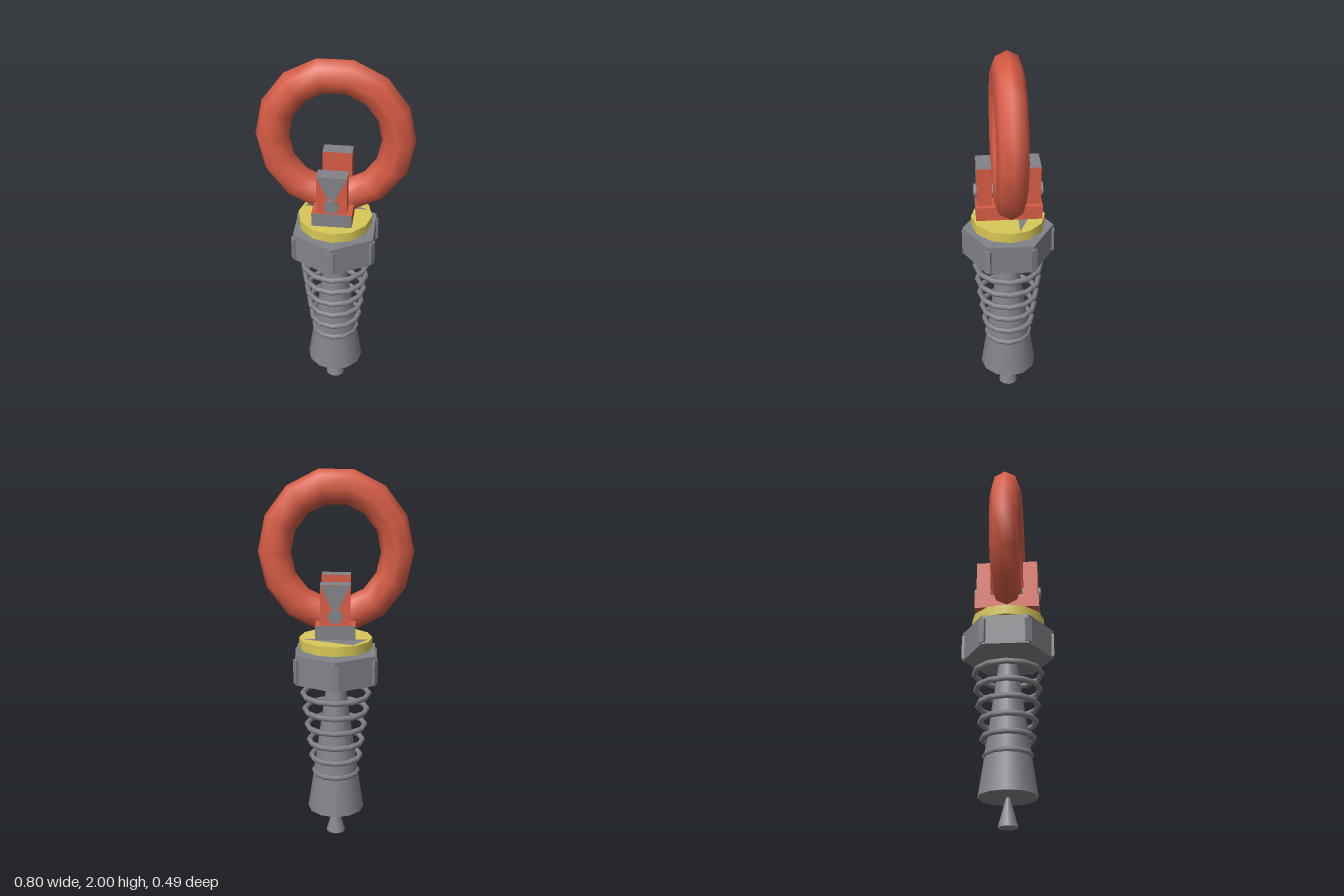
import * as THREE from 'three';

export function createModel() {
  const model = new THREE.Group();
  model.name = 'swivelHoistRing';

  const material = (name, color) => {
    const m = new THREE.MeshStandardMaterial({ color });
    m.name = name;
    return m;
  };
  const red = material('red', 0xd65c45);
  const yellow = material('yellow', 0xd9c857);
  const gray = material('gray', 0x828388);

  const add = (name, geometry, mat, x = 0, y = 0, z = 0, parent = model) => {
    const mesh = new THREE.Mesh(geometry, mat);
    mesh.name = name;
    mesh.position.set(x, y, z);
    parent.add(mesh);
    return mesh;
  };

  // Thin triangular face from three corners, given counter-clockwise from outside
  const triangle = (a, b, c) => {
    const g = new THREE.BufferGeometry();
    g.setAttribute('position', new THREE.Float32BufferAttribute([...a, ...b, ...c], 3));
    g.computeVertexNormals();
    return g;
  };

  // Lifting ring, slightly taller than wide
  const ring = add('liftingRing', new THREE.TorusGeometry(0.317, 0.085, 8, 14), red, 0, 1.58, 0);
  ring.scale.set(1, 1.067, 0.93);

  // Clevis base with gray end faces
  add('clevisBase', new THREE.BoxGeometry(0.205, 0.075, 0.342),
    [red, red, red, red, gray, gray], 0, 1.193, 0);

  // Two lugs with pin heads, mirrored front to back
  for (const turn of [0, Math.PI]) {
    const side = new THREE.Group();
    side.name = turn ? 'backLug' : 'frontLug';
    side.rotation.y = turn;
    model.add(side);
    add('lug', new THREE.BoxGeometry(0.154, 0.26, 0.076),
      [red, red, gray, red, red, red], 0, 1.31, 0.126, side);
    add('lugFacePatch', triangle([-0.077, 1.44, 0.166], [0, 1.28, 0.166], [0.077, 1.44, 0.166]),
      gray, 0, 0, 0, side);
    const pin = add('pin', new THREE.CylinderGeometry(0.037, 0.037, 0.1, 12), gray, 0, 1.278, 0.129, side);
    pin.rotation.x = Math.PI / 2;
  }

  // Yellow washer with a bare gray wedge on top
  add('washer', new THREE.CylinderGeometry(0.194, 0.194, 0.052, 12), yellow, 0, 1.098, 0);
  add('washerWedge', triangle([-0.09, 1.126, -0.16], [-0.172, 1.126, -0.05], [0.172, 1.126, -0.05]), gray);

  // Hexagonal nut with raised corner strips
  const nut = new THREE.CylinderGeometry(0.241, 0.241, 0.16, 6).toNonIndexed();
  nut.computeVertexNormals();
  add('hexNut', nut, gray, 0, 0.975, 0);
  for (let i = 0; i < 6; i++) {
    const a = i * Math.PI / 3;
    const strip = add('nutCornerStrip', new THREE.BoxGeometry(0.034, 0.13, 0.016), gray,
      Math.sin(a) * 0.237, 0.968, Math.cos(a) * 0.237);
    strip.rotation.y = a;
  }

  // Tapered shaft inside the spring
  add('shaft', new THREE.CylinderGeometry(0.05, 0.115, 0.46, 12), gray, 0, 0.635, 0);

  // Spring coils, shrinking downwards
  const coils = [[0.812, 0.178], [0.723, 0.168], [0.634, 0.157], [0.545, 0.145], [0.455, 0.133], [0.365, 0.118]];
  for (const [y, r] of coils) {
    const coil = add('springCoil', new THREE.TorusGeometry(r, 0.015, 6, 12), gray, 0, y, 0);
    coil.rotation.set(Math.PI / 2, 0, 0);
  }

  // Lower sleeve with a shoulder that carries the spring
  add('sleeveShoulder', new THREE.CylinderGeometry(0.113, 0.122, 0.08, 12), gray, 0, 0.395, 0);
  add('lowerSleeve', new THREE.CylinderGeometry(0.122, 0.153, 0.205, 12), gray, 0, 0.2525, 0);

  // Flared tip
  add('tip', new THREE.CylinderGeometry(0.01, 0.052, 0.152, 12), gray, 0, 0.076, 0);

  return model;
}
